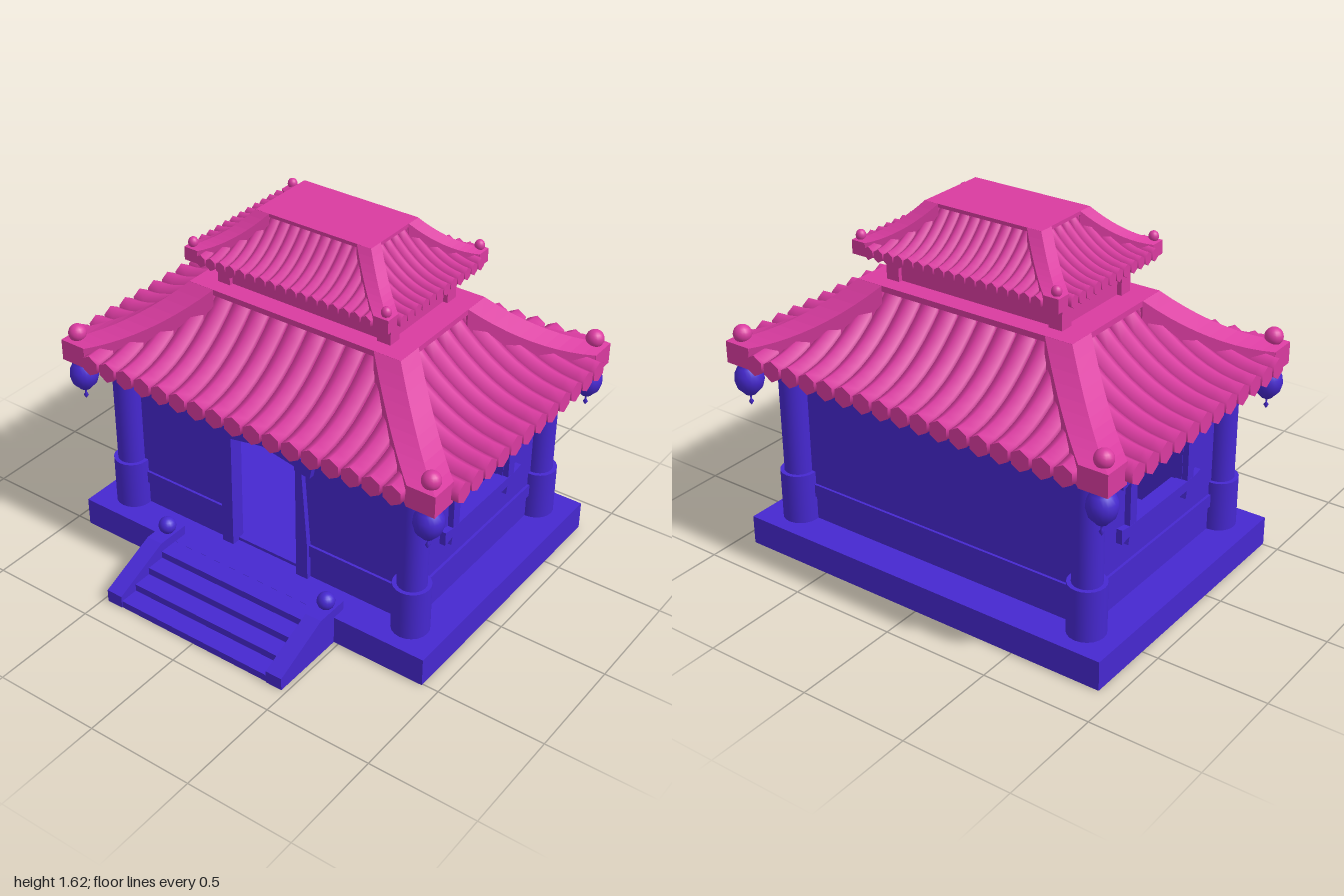
import * as THREE from 'three';
import { mergeGeometries } from 'three/addons/utils/BufferGeometryUtils.js';

const blue = new THREE.MeshStandardMaterial({ color: 0x4628d0 });
const pink = new THREE.MeshStandardMaterial({ color: 0xd93ba0 });
const PI = Math.PI;

function add(parent, name, geo, mat, x = 0, y = 0, z = 0, ry = 0) {
  const m = new THREE.Mesh(geo, mat);
  m.name = name;
  m.position.set(x, y, z);
  m.rotation.y = ry;
  parent.add(m);
  return m;
}

const box = (w, h, d) => new THREE.BoxGeometry(w, h, d);

// Outline extruded and centred on its depth
function slab(points, depth, hole) {
  const toV = (p) => new THREE.Vector2(p[0], p[1]);
  const shape = new THREE.Shape(points.map(toV));
  if (hole) shape.holes.push(new THREE.Path(hole.map(toV)));
  const g = new THREE.ExtrudeGeometry(shape, { depth, bevelEnabled: false });
  return g.translate(0, 0, -depth / 2);
}

// Closed skin over rings of points, counter-clockwise seen from the last ring
function loft(rings, smooth) {
  const n = rings[0].length, last = rings.length - 1;
  const pos = rings.flat(2), idx = [];
  for (let i = 0; i < last; i++)
    for (let j = 0; j < n; j++) {
      const a = i * n + j, b = i * n + (j + 1) % n;
      idx.push(a, b, b + n, a, b + n, a + n);
    }
  for (const [ring, flip] of [[rings[0], true], [rings[last], false]]) {
    const s = pos.length / 3;
    pos.push(...ring.flat());
    for (let j = 1; j < n - 1; j++) idx.push(s, flip ? s + j + 1 : s + j, flip ? s + j : s + j + 1);
  }
  let g = new THREE.BufferGeometry();
  g.setAttribute('position', new THREE.Float32BufferAttribute(pos, 3));
  g.setIndex(idx);
  if (!smooth) g = g.toNonIndexed();
  g.computeVertexNormals();
  return g;
}

// Roof slope: t is the distance in from the eave
const T = 0.52;
const rise = (t) => 0.045 + t * t;
const halfX = (t) => 1 - t;
const halfZ = (t) => 0.72 - 0.9 * t;

// One slope of spaced hexagonal tiles, built facing +z
function tileRow(count, reach, limit) {
  const r = 0.048, pitch = 0.098, tiles = [];
  for (let i = 0; i < count; i++) {
    const x = (i - (count - 1) / 2) * pitch;
    const tMax = Math.min(T - 0.02, limit(Math.abs(x)) - 0.02);
    const rings = [];
    for (let s = 8; s >= 0; s--) {
      const t = tMax * s / 8, ring = [];
      for (let j = 0; j < 6; j++) {
        const a = PI / 6 + j * PI / 3;
        ring.push([x + r * Math.cos(a), rise(t) + r * Math.sin(a), reach(t)]);
      }
      rings.push(ring);
    }
    tiles.push(loft(rings, true));
  }
  return mergeGeometries(tiles);
}

function makeRoof(name) {
  const roof = new THREE.Group();
  roof.name = name;

  // Deck below the tiles
  const ring = (t, y) => [[1, 1], [1, -1], [-1, -1], [-1, 1]].map(([a, b]) => [a * halfX(t), y, b * halfZ(t)]);
  const deck = [ring(0.05, 0)];
  for (let s = 0; s <= 8; s++) {
    const t = 0.05 + (T - 0.05) * s / 8;
    deck.push(ring(t, rise(t)));
  }
  deck.push(ring(T, 0.345));
  add(roof, 'roofDeck', loft(deck, false), pink);

  // Tiles on all four slopes
  const wide = tileRow(17, halfZ, (x) => 1 - x);
  const narrow = tileRow(12, halfX, (z) => (0.72 - z) / 0.9);
  add(roof, 'frontTiles', wide, pink);
  add(roof, 'backTiles', wide, pink, 0, 0, 0, PI);
  add(roof, 'leftTiles', narrow, pink, 0, 0, 0, PI / 2);
  add(roof, 'rightTiles', narrow, pink, 0, 0, 0, -PI / 2);

  // Flat top
  add(roof, 'roofCap', box(1.09, 0.026, 0.634), pink, 0, 0.348, 0);

  // Square-edged hip ridges, corner blocks and balls
  const w = 0.065;
  for (const sx of [1, -1]) for (const sz of [1, -1]) {
    const rings = [];
    for (let s = 10; s >= 0; s--) {
      const t = 0.1 + (T - 0.1) * s / 10;
      const x = halfX(t), z = halfZ(t), top = rise(t) + 0.045, low = Math.max(0, top - 0.12);
      const r = [[x - w, low, z + w], [x + w, low, z - w], [x + w, top, z - w], [x + w, top, z + w], [x - w, top, z + w]]
        .map(([a, b, c]) => [a * sx, b, c * sz]);
      rings.push(sx * sz < 0 ? r.reverse() : r);
    }
    add(roof, 'hipRidge', loft(rings, false), pink);
    add(roof, 'cornerBlock', box(0.13, 0.1, 0.13), pink, 0.902 * sx, 0.05, 0.63 * sz);
    add(roof, 'cornerBall', new THREE.SphereGeometry(0.041, 16, 12), pink, 0.915 * sx, 0.13, 0.645 * sz);
  }
  return roof;
}

export function createModel() {
  const model = new THREE.Group();
  model.name = 'pavilion';
  const house = new THREE.Group();
  house.name = 'house';
  house.position.z = -0.155;
  model.add(house);

  // Platform and raised inner floor
  add(house, 'platform', box(1.85, 0.135, 1.325), blue, 0, 0.0675, 0);
  add(house, 'floor', box(1.46, 0.02, 0.97), blue, 0, 0.14, 0);

  // Columns and hanging lanterns
  const lantern = new THREE.LatheGeometry(
    [[0, 0], [0.011, 0.018], [0.004, 0.03], [0.004, 0.055], [0.025, 0.057], [0.032, 0.066], [0.055, 0.09],
      [0.065, 0.125], [0.062, 0.155], [0.048, 0.185], [0.033, 0.197], [0.033, 0.215]].map((p) => new THREE.Vector2(...p)), 20);
  for (const sx of [1, -1]) for (const sz of [1, -1]) {
    add(house, 'column', new THREE.CylinderGeometry(0.065, 0.065, 0.77, 20), blue, 0.765 * sx, 0.52, 0.515 * sz);
    add(house, 'columnBase', new THREE.CylinderGeometry(0.084, 0.084, 0.235, 20), blue, 0.765 * sx, 0.2525, 0.515 * sz);
    add(house, 'lantern', lantern, blue, 0.905 * sx, 0.69, 0.635 * sz);
  }

  // Front wall with an open doorway, plain back wall, thin mouldings and top beams
  const WZ = 0.475, WX = 0.735;
  add(house, 'frontWall', slab([[-0.735, 0.13], [-0.178, 0.13], [-0.178, 0.71], [0, 0.743], [0.178, 0.71], [0.178, 0.13],
    [0.735, 0.13], [0.735, 0.905], [-0.735, 0.905]], 0.05), blue, 0, 0, WZ);
  add(house, 'backWall', box(1.47, 0.775, 0.05), blue, 0, 0.5175, -WZ);
  for (const s of [1, -1])
    add(house, 'frontMoulding', box(0.47, 0.06, 0.05), blue, 0.455 * s, 0.28, WZ + 0.012);
  add(house, 'backMoulding', box(1.4, 0.06, 0.05), blue, 0, 0.28, -WZ - 0.012);
  add(house, 'frontBeam', box(1.4, 0.02, 0.05), blue, 0, 0.895, WZ + 0.015);
  add(house, 'backBeam', box(1.4, 0.08, 0.05), blue, 0, 0.86, -WZ - 0.015);

  // Side walls with open, framed windows
  const opening = [[-0.195, 0.49], [0.195, 0.49], [0.195, 0.692], [0, 0.7], [-0.195, 0.692]];
  const wall = slab([[-0.5, 0.13], [0.5, 0.13], [0.5, 0.905], [-0.5, 0.905]], 0.05, opening);
  const rail = slab([[-0.305, -0.033], [-0.25, -0.022], [0.25, -0.022], [0.305, -0.033],
    [0.305, 0.033], [0.25, 0.024], [-0.25, 0.024], [-0.305, 0.033]], 0.056);
  const stile = slab([[-0.033, -0.185], [0.033, -0.185], [0.024, -0.14], [0.024, 0.14],
    [0.033, 0.185], [-0.033, 0.185], [-0.024, 0.14], [-0.024, -0.14]], 0.054);
  for (const s of [1, -1]) {
    add(house, 'sideWall', wall, blue, WX * s, 0, 0, -PI / 2);
    add(house, 'sideBeam', box(0.05, 0.08, 0.92), blue, (WX + 0.015) * s, 0.86, 0);
    add(house, 'sideMoulding', box(0.05, 0.06, 0.92), blue, (WX + 0.012) * s, 0.28, 0);
    for (const e of [1, -1]) {
      add(house, 'windowRail', rail, blue, (WX + 0.025) * s, 0.595 + 0.125 * e, 0, -PI / 2);
      add(house, 'windowStile', stile, blue, (WX + 0.025) * s, 0.595, 0.222 * e, -PI / 2);
    }
  }

  // Door jambs and peaked lintel
  for (const s of [1, -1])
    add(house, 'doorJamb', slab([[0.175, 0.13], [0.235, 0.13], [0.235, 0.3], [0.205, 0.69], [0.172, 0.69]]
      .map(([x, y]) => [x * s, y]), 0.07), blue, 0, 0, WZ + 0.015);
  add(house, 'doorLintel', slab([[-0.25, 0.68], [-0.17, 0.69], [-0.17, 0.71], [0, 0.742], [0.17, 0.71], [0.17, 0.69],
    [0.25, 0.68], [0.265, 0.75], [0, 0.8], [-0.265, 0.75]], 0.076), blue, 0, 0, WZ + 0.015);

  // Open-bottomed steps between sloping side rails
  for (let i = 0; i < 4; i++)
    add(model, 'step', box(0.8, 0.034, 0.092), blue, 0, 0.034 * (i + 0.5), 0.825 - 0.09 * i);
  for (const s of [1, -1]) {
    add(model, 'stairRail', slab([[0.44, 0], [0.875, 0], [0.875, 0.06], [0.6, 0.18], [0.44, 0.18]], 0.08),
      blue, 0.437 * s, 0, 0, -PI / 2);
    add(model, 'railBall', new THREE.SphereGeometry(0.04, 16, 12), blue, 0.437 * s, 0.21, 0.51);
  }

  // Lower roof, neck and smaller upper roof
  const lower = makeRoof('lowerRoof');
  lower.position.y = 0.9;
  const upper = makeRoof('upperRoof');
  upper.position.y = 1.4;
  upper.scale.set(0.535, 0.61, 0.535);
  house.add(lower, upper);
  add(house, 'roofNeck', box(0.85, 0.16, 0.45), pink, 0, 1.33, 0);
  for (const sx of [1, -1]) for (const sz of [1, -1])
    add(house, 'neckPost', box(0.065, 0.16, 0.065), pink, 0.414 * sx, 1.33, 0.212 * sz);

  return model;
}
